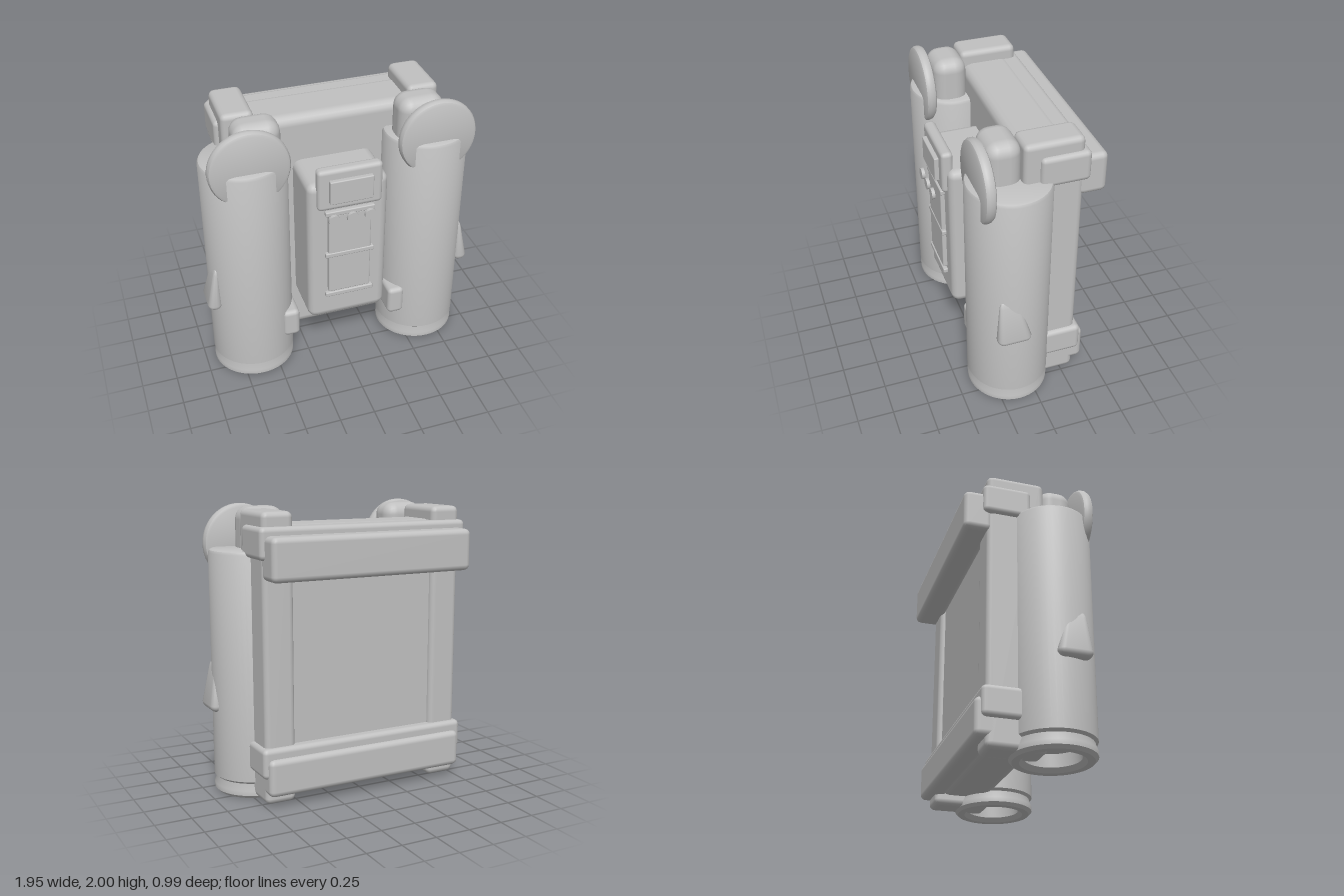
import * as THREE from 'three';
import { toCreasedNormals } from 'three/addons/utils/BufferGeometryUtils.js';
import { RoundedBoxGeometry } from 'three/addons/geometries/RoundedBoxGeometry.js';

const grey = new THREE.MeshStandardMaterial({ color: 0xc0c0c0 });
grey.name = 'grey';

export function createModel() {
  const model = new THREE.Group();
  model.name = 'jetpack';

  const add = (name, geometry) => {
    const mesh = new THREE.Mesh(geometry, grey);
    mesh.name = name;
    model.add(mesh);
    return mesh;
  };
  // Rounded box given by its extents on each axis
  const box = (name, [x0, x1], [y0, y1], [z0, z1], r, segments = 2) => {
    const mesh = add(name, new RoundedBoxGeometry(x1 - x0, y1 - y0, z1 - z0, segments, r));
    mesh.position.set((x0 + x1) / 2, (y0 + y1) / 2, (z0 + z1) / 2);
    return mesh;
  };
  const lathe = (points, sides = 48) => toCreasedNormals(
    new THREE.LatheGeometry(points.map(([x, y]) => new THREE.Vector2(x, y)), sides), 0.6);

  // Back frame
  box('backBody', [-0.72, 0.72], [0.09, 1.89], [-0.3, 0.06], 0.07);
  box('upperBracket', [-0.78, 0.78], [1.67, 1.885], [-0.37, -0.035], 0.035);
  box('upperBackBar', [-0.75, 0.75], [1.54, 1.83], [-0.495, -0.3], 0.04);
  box('lowerBracket', [-0.78, 0.78], [0.21, 0.42], [-0.37, -0.035], 0.035);
  box('lowerBackBar', [-0.75, 0.75], [0.09, 0.35], [-0.405, -0.25], 0.04);

  // Control pack
  box('controlPack', [-0.283, 0.283], [0.43, 1.56], [0, 0.41], 0.06);
  box('displayHousing', [-0.225, 0.225], [1.37, 1.68], [0.36, 0.442], 0.03);
  box('displayScreen', [-0.15, 0.15], [1.435, 1.61], [0.43, 0.472], 0.008);
  box('controlPlate', [-0.15, 0.15], [0.68, 1.33], [0.4, 0.44], 0.01);
  for (const y of [0.658, 1.0, 1.342]) {
    box('crossBar', [-0.173, 0.173], [y - 0.018, y + 0.018], [0.41, 0.445], 0.008);
  }
  for (const x of [-0.128, 0, 0.124]) {
    const dial = add('dial', new THREE.CylinderGeometry(0.04, 0.04, 0.022, 20));
    dial.rotation.x = Math.PI / 2;
    dial.position.set(x, 1.323, 0.488);
  }

  // Fuel tank: hollow nozzle, base flange, groove, then the body
  const tankShape = lathe([
    [0, 0.12], [0.19, 0.12], [0.19, 0.03], [0.22, 0], [0.27, 0], [0.292, 0.022],
    [0.292, 0.055], [0.275, 0.1], [0.275, 0.105], [0.294, 0.122],
    [0.294, 1.685], [0.285, 1.702], [0.268, 1.71], [0, 1.71],
  ]);
  // Disc with a rounded rim
  const discShape = lathe([
    [0, -0.038], [0.245, -0.038], [0.262, -0.03], [0.272, -0.012],
    [0.272, 0.012], [0.262, 0.03], [0.245, 0.038], [0, 0.038],
  ]);

  for (const side of [-1, 1]) {
    const span = (a, b) => (side > 0 ? [a, b] : [-b, -a]);

    box('framePost', span(0.53, 0.75), [0.02, 1.98], [-0.335, 0.068], 0.04);
    box('lowerClamp', span(0.338, 0.462), [0.27, 0.492], [0.05, 0.36], 0.035);

    const tank = add('fuelTank', tankShape);
    tank.position.set(side * 0.64, 0, 0.13);
    tank.scale.z = 0.96;

    const disc = add('topDisc', discShape);
    disc.rotation.x = Math.PI / 2;
    disc.position.set(side * 0.642, 1.73, 0.328);

    // Domed neck joining tank and disc
    box('tankNeck', span(0.4, 0.718), [1.6, 1.99], [0.055, 0.29], 0.09, 3);

    // Side thruster: narrows and leans inwards towards the top
    const shape = new RoundedBoxGeometry(0.1, 0.34, 0.235, 3, 0.045);
    const p = shape.attributes.position;
    for (let i = 0; i < p.count; i++) {
      const t = Math.max(0, (p.getY(i) + 0.08) / 0.25);
      p.setX(i, p.getX(i) * (1 - 0.75 * t) - side * 0.028 * t);
      p.setZ(i, p.getZ(i) * (1 - 0.5 * t) + 0.03 * t);
    }
    shape.computeVertexNormals();
    const thruster = add('sideThruster', toCreasedNormals(shape, 0.6));
    thruster.position.set(side * 0.925, 0.76, 0.183);
  }
  return model;
}
